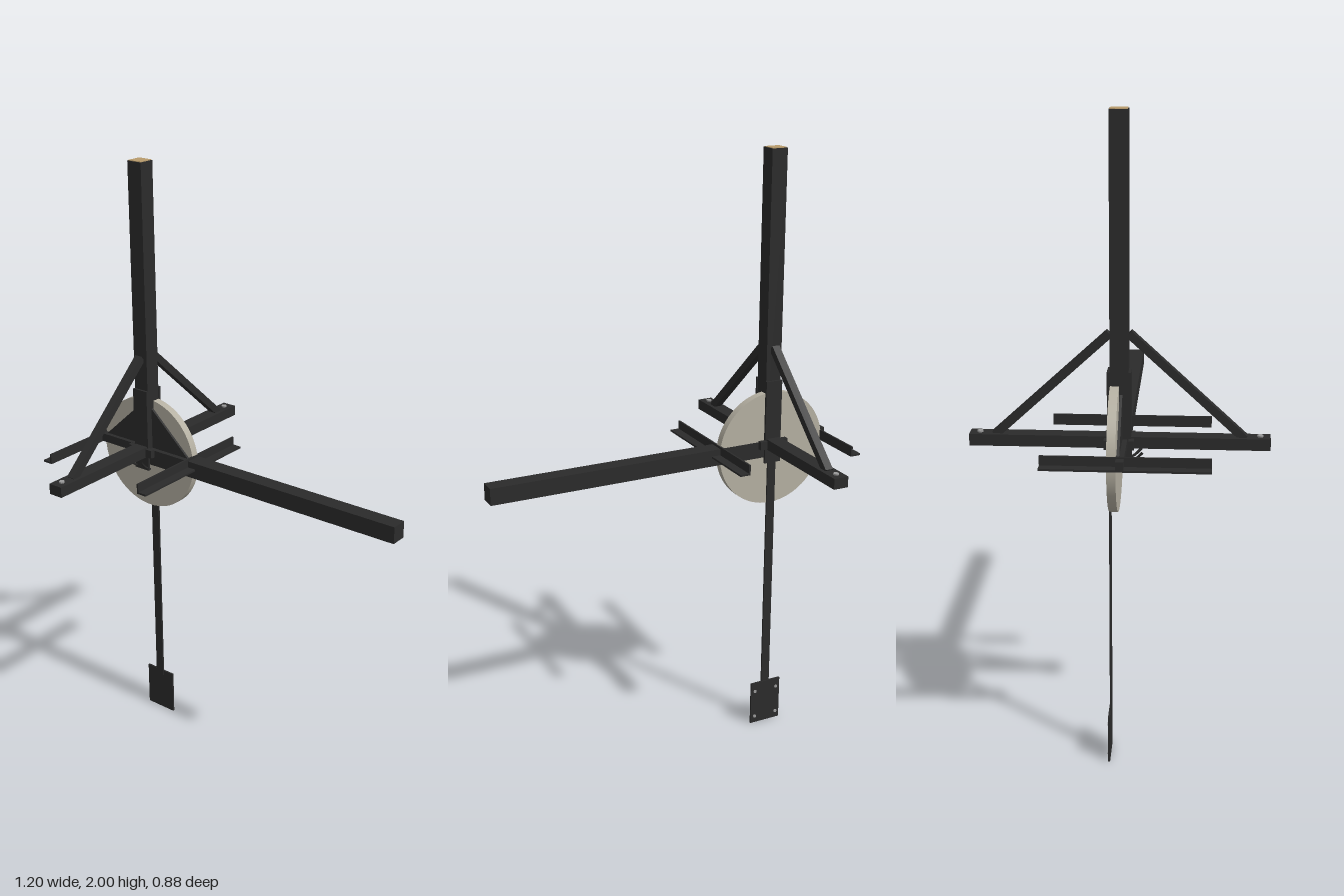
import * as THREE from 'three';

const X = -0.378; // axis of the upright post

export function createModel() {
  const model = new THREE.Group();
  const iron = new THREE.MeshStandardMaterial({ color: 0x2b2b2b });
  iron.name = 'dark iron';
  const stone = new THREE.MeshStandardMaterial({ color: 0xb5b0a2 });
  stone.name = 'pale disc';
  const wood = new THREE.MeshStandardMaterial({ color: 0xb89b6c });
  wood.name = 'wood core';
  const steel = new THREE.MeshStandardMaterial({ color: 0x9a9a9a });
  steel.name = 'bolt steel';

  const add = (name, geometry, material) => {
    const mesh = new THREE.Mesh(geometry, material);
    mesh.name = name;
    model.add(mesh);
    return mesh;
  };
  // Box given by its low and high corner
  const box = (name, [x0, y0, z0], [x1, y1, z1], material = iron) => {
    const mesh = add(name, new THREE.BoxGeometry(x1 - x0, y1 - y0, z1 - z0), material);
    mesh.position.set((x0 + x1) / 2, (y0 + y1) / 2, (z0 + z1) / 2);
    return mesh;
  };

  // Upright post with its wood core showing at the top
  box('post', [X - 0.027, 1.0, -0.027], [X + 0.027, 1.998, 0.027]);
  box('postCore', [X - 0.025, 1.99, -0.025], [X + 0.025, 2.0, 0.025], wood);

  // Long side arm and the short bar opposite
  box('sideArm', [X + 0.027, 1.0, -0.028], [0.6, 1.055, 0.026]);
  box('shortBar', [-0.6, 1.03, 0.001], [X - 0.027, 1.058, 0.024]);

  // Cross bar with a bolt near each end, and its diagonal braces
  box('crossBar', [X - 0.025, 1.03, -0.44], [X + 0.025, 1.065, 0.44]);
  for (const s of [-1, 1]) {
    const bolt = add('crossBarBolt', new THREE.CylinderGeometry(0.009, 0.009, 0.006, 12), steel);
    bolt.position.set(X, 1.067, s * 0.41);

    const a = new THREE.Vector3(X, 1.37, s * 0.028);
    const b = new THREE.Vector3(X, 1.06, s * 0.365);
    const brace = add('brace', new THREE.BoxGeometry(0.026, 0.024, a.distanceTo(b)), iron);
    brace.position.addVectors(a, b).multiplyScalar(0.5);
    brace.lookAt(b);
  }

  // Angle irons: a flat flange and an upright flange on the inner side
  for (const s of [-1, 1]) {
    const x = X + s * 0.205;
    box('angleIronFlat', [x - 0.018, 1.028, -0.215], [x + 0.018, 1.034, 0.27]);
    const inner = x - s * 0.015;
    box('angleIronUpright', [inner - 0.003, 1.028, -0.215], [inner + 0.003, 1.062, 0.27]);
  }

  // Round disc
  const disc = add('disc', new THREE.CylinderGeometry(0.193, 0.193, 0.026, 64), stone);
  disc.rotation.x = Math.PI / 2;
  disc.position.set(X, 1.028, -0.013);

  // Triangular gussets on both sides of the post
  for (const s of [-1, 1]) {
    const shape = new THREE.Shape([
      new THREE.Vector2(X + s * 0.02, 1.04),
      new THREE.Vector2(X + s * 0.178, 1.04),
      new THREE.Vector2(X + s * 0.178, 1.055),
      new THREE.Vector2(X + s * 0.02, 1.2),
    ]);
    const gusset = add('gusset', new THREE.ExtrudeGeometry(shape, { depth: 0.008, bevelEnabled: false }), iron);
    gusset.position.z = 0.002;
  }

  // Clamp plates before and behind the post, with bolts
  for (const s of [-1, 1]) {
    const z = s * 0.031;
    box('clampPlate', [X - 0.029, 0.98, z - 0.004], [X + 0.029, 1.26, z + 0.004]);
    box('clampBlock', [X - 0.05, 1.032, s * 0.036 - 0.008], [X + 0.05, 1.06, s * 0.036 + 0.008]);
  }
  // Small hooked prongs at the front
  for (const s of [-1, 1]) {
    const path = new THREE.CatmullRomCurve3([
      new THREE.Vector3(X + s * 0.023, 0.98, 0.02),
      new THREE.Vector3(X + s * 0.024, 0.995, 0.045),
      new THREE.Vector3(X + s * 0.03, 1.02, 0.07),
    ]);
    add('prong', new THREE.TubeGeometry(path, 8, 0.004, 6), iron);
  }

  // Flat hanging rod and the plate at its foot
  box('hangingRod', [X - 0.015, 0.14, -0.031], [X + 0.015, 1.0, -0.025]);
  box('footPlate', [X - 0.057, 0, -0.034], [X + 0.057, 0.157, -0.028]);
  for (const sx of [-1, 1]) {
    for (const y of [0.025, 0.125]) {
      const bolt = add('footPlateBolt', new THREE.CylinderGeometry(0.006, 0.006, 0.004, 10), steel);
      bolt.rotation.x = Math.PI / 2;
      bolt.position.set(X + sx * 0.042, y, -0.035);
    }
  }
  return model;
}
